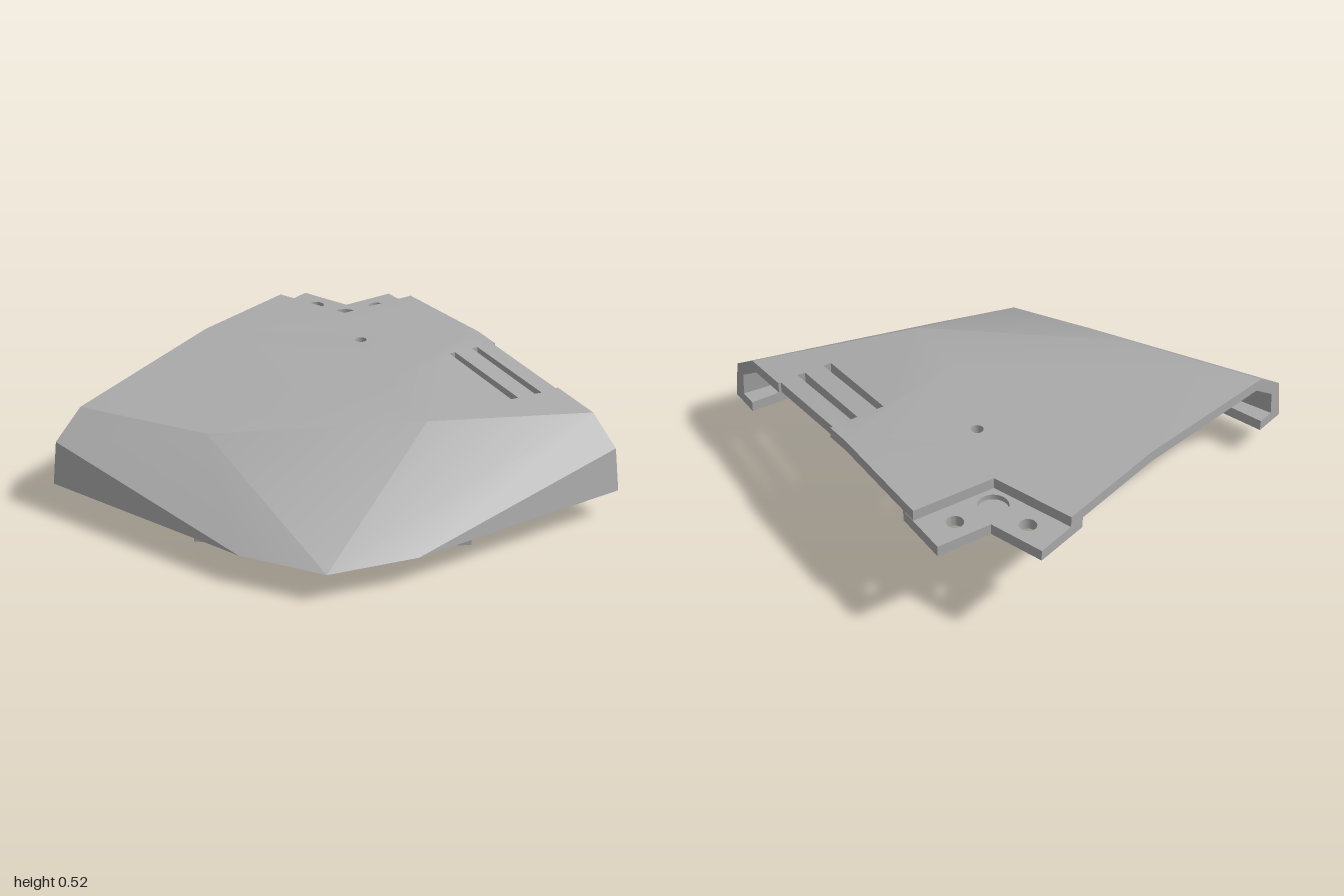
import * as THREE from 'three';
import { toCreasedNormals } from 'three/addons/utils/BufferGeometryUtils.js';

const grey = new THREE.MeshStandardMaterial({ color: 0xaaaaaa, side: THREE.DoubleSide });
grey.name = 'panel grey';

// The panel is a 72 degree sector: a runs along its axis, b across it
const C = Math.cos(Math.PI / 5), S = Math.sin(Math.PI / 5);
const at = (a, b, y) => new THREE.Vector3(1.095 - C * a + S * b, y, -1 + S * a + C * b);
// Point on a straight side (s = -1 back, +1 left), r from the sector centre
const side = (s, r, y, inset = 0) => at(C * r + S * inset, s * (S * r - C * inset), y);
const V = (x, y, z) => new THREE.Vector3(x, y, z);

// Collects triangles; surfaces are triangulated in plan
class Skin {
  constructor() { this.p = []; }
  tri(a, b, c) { for (const v of [a, b, c]) this.p.push(v.x, v.y, v.z); }
  surface(poly, up = true, holes = []) {
    const flat = (l) => l.map((v) => new THREE.Vector2(v.x, v.z));
    const all = [...poly, ...holes.flat()];
    for (const [i, j, k] of THREE.ShapeUtils.triangulateShape(flat(poly), holes.map(flat))) {
      const a = all[i], b = all[j], c = all[k];
      const ny = (b.z - a.z) * (c.x - a.x) - (b.x - a.x) * (c.z - a.z);
      if ((ny > 0) === up) this.tri(a, b, c); else this.tri(a, c, b);
    }
  }
  strip(u, l, closed = false) {
    const n = u.length;
    for (let i = 0; i < (closed ? n : n - 1); i++) {
      const j = (i + 1) % n;
      this.tri(u[i], l[i], l[j]);
      this.tri(u[i], l[j], u[j]);
    }
  }
  mesh(name) {
    const g = new THREE.BufferGeometry();
    g.setAttribute('position', new THREE.Float32BufferAttribute(this.p, 3));
    return part(name, toCreasedNormals(g, 0.35));
  }
}

function part(name, geometry) {
  const m = new THREE.Mesh(geometry, grey);
  m.name = name;
  return m;
}

// Horizontal plate from plan points, hanging down from its top height
function plate(name, pts, top, depth, holes = []) {
  const shape = new THREE.Shape(pts.map(([x, z]) => new THREE.Vector2(x, z)));
  for (const [x, z, r] of holes) shape.holes.push(new THREE.Path().absarc(x, z, r, 0, Math.PI * 2, true));
  const g = new THREE.ExtrudeGeometry(shape, { depth, bevelEnabled: false, curveSegments: 16 });
  g.rotateX(Math.PI / 2).translate(0, top, 0);
  return part(name, toCreasedNormals(g, 0.45));
}

const slopeY = (z) => 0.525 - 0.121 * (z - 0.022);
const slots = [
  [[0.48, 0.06], [0.51, 0.07], [0.37, 0.51], [0.335, 0.497]],
  [[0.6, 0.1], [0.63, 0.11], [0.488, 0.555], [0.455, 0.54]],
];
const pinHole = Array.from({ length: 20 }, (_, i) => {
  const t = i / 20 * Math.PI * 2;
  return [0.355 + 0.027 * Math.cos(t), -0.35 + 0.027 * Math.sin(t)];
});

// Corner points of one skin of the shell
function corners(inner) {
  const d = inner ? 0.05 : 0;
  const pick = (o, i) => (inner ? i : o);
  const step = [[1.2, 0], [1.2, 0.012], [1.66, 0.012], [1.66, 0]];
  const k = { d };
  k.K = V(0.565, 0.525 - d, -0.61);
  k.T = V(0.08, 0.525 - d, 0.022);
  k.P = [V(-0.68, 0.43 - d, -0.38), V(-0.1, 0.484 - d, 0.36)];
  k.tip = pick(at(2.48, 0, 0.13), at(2.31, 0, 0.18));
  const at2 = (f) => [f(-1), f(1)];
  k.N = at2((s) => side(s, 0.533, 0.525 - d));
  k.S = at2((s) => side(s, 1.075, 0.525 - d));
  k.Q = at2((s) => side(s, pick(1.905, 1.875), pick(0.43, 0.385)));
  k.R = at2((s) => side(s, pick(2.065, 2.01), pick(0.32, 0.29)));
  k.E = at2((s) => side(s, pick(2.095, 2.02), pick(0.13, 0.18)));
  k.M = at2((s) => pick(at(2.325, s * 0.37, 0.13), at(2.167, s * 0.33, 0.18)));
  k.step = step.map(([r, n]) => side(1, r, 0.525 - d - (r - 1.075) * 0.1145, n));
  k.slots = slots.map((h) => h.map(([x, z]) => V(x, slopeY(z) - d, z)));
  k.pin = pinHole.map(([x, z]) => V(x, 0.525 - d, z));
  return k;
}

function shellSkin(k, up) {
  const { N, S: F, Q, R, E, M, P, T, K, tip } = k;
  const skin = new Skin();
  skin.surface([N[0], F[0], T, F[1], N[1], K], up, [k.pin]);
  skin.surface([F[1], ...k.step, Q[1], P[1], T], up, k.slots);
  skin.surface([F[0], Q[0], P[0], T], up);
  skin.surface([P[0], T, P[1]], up);
  skin.surface([P[0], P[1], tip], up);
  for (const i of [0, 1]) {
    skin.surface([Q[i], R[i], M[i], tip, P[i]], up);
    skin.surface([E[i], R[i], M[i]], up);
  }
  return skin.mesh(up ? 'outerShell' : 'innerShell');
}

export function createModel() {
  const group = new THREE.Group();
  const o = corners(false), n = corners(true);
  group.add(shellSkin(o, true), shellSkin(n, false));

  // Cut edges of the shell, slots and pin hole
  const edges = new Skin();
  const run = (k, i) => [k.N[i], k.S[i], ...(i ? k.step : []), k.Q[i], k.R[i], k.E[i]];
  for (const i of [0, 1]) {
    edges.strip(run(o, i), run(n, i));
    edges.strip(o.slots[i], n.slots[i], true);
  }
  edges.strip([o.N[0], o.K, o.N[1]], [n.N[0], n.K, n.N[1]]);
  edges.strip(o.pin, n.pin, true);
  group.add(edges.mesh('shellEdges'));

  // Arc shared by the ring wall and the floor
  const A0 = 1.724, A1 = Math.PI * 2 - A0;
  const arc = (r, y) => Array.from({ length: 41 }, (_, i) => {
    const t = A0 + (A1 - A0) * i / 40;
    return at(2.06 + r * Math.cos(t), r * Math.sin(t), y);
  });

  // Floor lip along the rim, widening to a plate inside the ring
  const floor = new Skin();
  const inside = (y) => [side(1, 1.94, y), ...arc(0.6, y), side(-1, 1.94, y)];
  const rim = (k) => [k.E[0], k.M[0], k.tip, k.M[1], k.E[1]];
  floor.surface([...rim(o), ...inside(0.13)], false);
  floor.surface([...rim(n), ...inside(0.18)], true);
  floor.strip(inside(0.18), inside(0.13));
  [-1, 1].forEach((s, i) => floor.strip([o.E[i], side(s, 1.94, 0.13)], [n.E[i], side(s, 1.94, 0.18)]));
  group.add(floor.mesh('floorLip'));

  // Curved ring wall
  const ring = [...arc(0.6, 0), ...arc(0.545, 0).reverse()].map((v) => [v.x, v.z]);
  group.add(plate('ringWall', ring, 0.18, 0.18));

  // Posts between the lip and the shell, tops cut to the slope
  for (const s of [-1, 1]) {
    const post = new THREE.BoxGeometry(0.126, 1, 0.13).toNonIndexed();
    const p = post.attributes.position;
    for (let i = 0; i < p.count; i++) {
      const r = 1.868 + p.getX(i), q = 0.345 + p.getZ(i);
      const a = C * r + S * q, b = S * r - C * q;
      const top = Math.min(0.39, 0.09 + 0.654 * (2.48 - a) - 0.288 * b);
      const v = side(s, r, p.getY(i) > 0 ? top : 0.13, q);
      p.setXYZ(i, v.x, v.y, v.z);
    }
    // The mapping to the left side mirrors the box, so restore the winding
    if (s > 0 !== isOutward(p)) flip(p);
    if (!isOutward(p)) flip(p);
    post.computeVertexNormals();
    group.add(part(s < 0 ? 'backPost' : 'leftPost', post));
  }

  // Mounting tab with two bolt holes and a round recess
  const tab = [[0.485, -1], [0.75, -1], [0.75, -0.745], [0.99, -0.67], [0.907, -0.42], [0.485, -0.557]];
  const bolts = [[0.66, -0.86, 0.037], [0.83, -0.625, 0.037]];
  group.add(plate('tabTop', tab, 0.474, 0.024, [...bolts, [0.65, -0.675, 0.065]]));
  group.add(plate('tabBase', tab, 0.45, 0.025, bolts));
  return group;
}

// Sign of the enclosed volume tells whether faces point outward
function isOutward(p) {
  const [a, b, c] = [V(0, 0, 0), V(0, 0, 0), V(0, 0, 0)];
  let vol = 0;
  for (let i = 0; i < p.count; i += 3) {
    a.fromBufferAttribute(p, i); b.fromBufferAttribute(p, i + 1); c.fromBufferAttribute(p, i + 2);
    vol += a.dot(b.cross(c));
  }
  return vol > 0;
}

function flip(p) {
  for (let i = 0; i < p.count; i += 3) {
    const b = V(p.getX(i + 1), p.getY(i + 1), p.getZ(i + 1));
    p.setXYZ(i + 1, p.getX(i + 2), p.getY(i + 2), p.getZ(i + 2));
    p.setXYZ(i + 2, b.x, b.y, b.z);
  }
}
